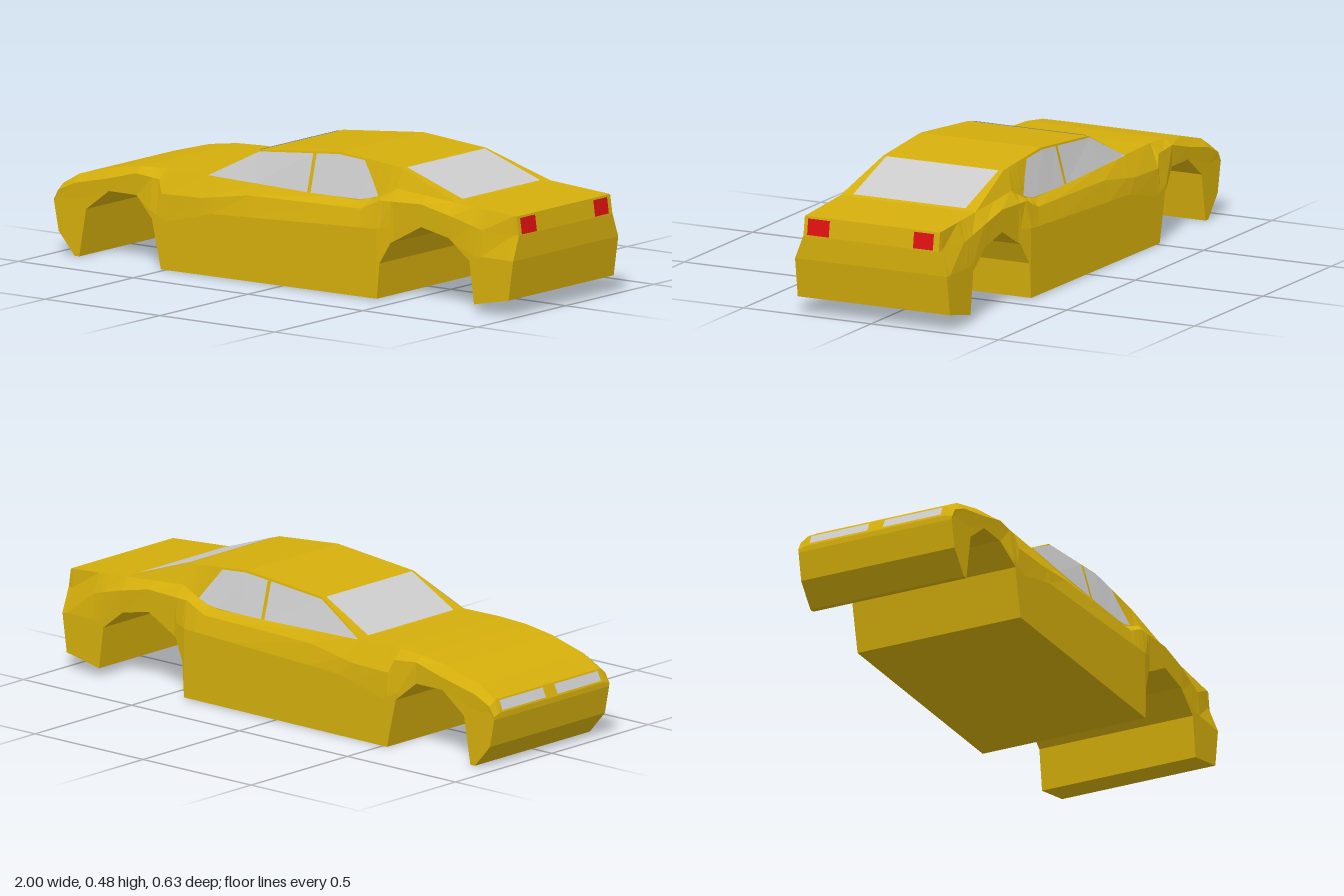
import * as THREE from 'three';

const paint = new THREE.MeshStandardMaterial({ color: 0xd4ae0c, flatShading: true, side: THREE.DoubleSide });
const glass = new THREE.MeshStandardMaterial({ color: 0xcccccc, flatShading: true, side: THREE.DoubleSide });
const red = new THREE.MeshStandardMaterial({ color: 0xdd1010, flatShading: true, side: THREE.DoubleSide });

// Body lines along the length: [x, height]
const top = [[-1, .2], [-.98, .245], [-.91, .285], [-.76, .325], [-.64, .342], [-.52, .347], [-.35, .345],
  [-.15, .451], [.2, .483], [.47, .46], [.73, .37], [.99, .352], [1, .285]];
const bottom = [[-1, .18], [-.98, .08], [-.91, 0], [-.89, 0], [-.86, .17], [-.76, .245], [-.64, .245],
  [-.56, .175], [-.52, 0], [.42, .005], [.43, .13], [.47, .205], [.6, .275], [.72, .25], [.81, .18],
  [.83, .03], [.98, .06], [1, .2]];
const belt = [[-1, .2], [-.98, .245], [-.91, .285], [-.76, .325], [-.64, .342], [-.52, .347], [-.35, .345],
  [-.15, .338], [.3, .332], [.37, .345], [.47, .39], [.73, .37], [.99, .352], [1, .285]];
const shoulder = [[-1, .19], [-.98, .225], [-.91, .257], [-.76, .29], [-.64, .322], [-.54, .312], [-.52, .265],
  [-.35, .27], [-.15, .3], [.34, .31], [.42, .348], [.6, .355], [.72, .33], [.86, .292], [1, .285]];
const crease = [[-1, .185], [-.98, .2], [-.91, .2], [-.76, .24], [-.56, .2], [-.5, .17], [-.3, .22], [.4, .25],
  [.6, .28], [.83, .2], [1, .2]];

// Half widths along the length: [x, z]
const topZ = [[-1, .27], [-.35, .265], [-.15, .235], [.47, .235], [.73, .265], [1, .265]];
const beltZ = [[-1, .27], [.3, .272], [.47, .265], [1, .265]];
const shoulderZ = [[-1, .3], [-.54, .302], [-.52, .312], [-.35, .312], [-.15, .3], [.72, .3], [.86, .29], [1, .265]];
const sideZ = [[-1, .298], [-.64, .3], [-.57, .317], [.42, .317], [.48, .3], [1, .298]];

function at(line, x) {
  for (let i = 1; i < line.length; i++) {
    const [x0, a] = line[i - 1], [x1, b] = line[i];
    if (x <= x1) return a + (b - a) * (x - x0) / (x1 - x0);
  }
  return line[line.length - 1][1];
}

// Closed cross-section at x, from the floor up one side and down the other
function section(x) {
  const floor = at(bottom, x);
  const half = [[floor, at(sideZ, x)], [at(crease, x), at(sideZ, x)], [at(shoulder, x), at(shoulderZ, x)],
    [at(belt, x), at(beltZ, x)], [at(top, x), at(topZ, x)]];
  const pts = half.map(([y, z]) => [x, Math.max(y, floor), z]);
  return [...pts, ...pts.slice().reverse().map(([a, y, z]) => [a, y, -z])];
}

function meshOf(positions, material, name) {
  const g = new THREE.BufferGeometry();
  g.setAttribute('position', new THREE.Float32BufferAttribute(positions, 3));
  g.computeVertexNormals();
  const m = new THREE.Mesh(g, material);
  m.name = name;
  return m;
}

const quad = (out, a, b, c, d) => out.push(...a, ...b, ...c, ...a, ...c, ...d);

function bodyShell() {
  const xs = [...new Set([top, bottom, belt, shoulder, crease, topZ, sideZ].flat().map(p => p[0]))].sort((a, b) => a - b);
  const rings = xs.map(section), out = [], n = rings[0].length;
  for (let i = 0; i + 1 < rings.length; i++) {
    for (let j = 0; j < n; j++) {
      const k = (j + 1) % n;
      quad(out, rings[i][j], rings[i + 1][j], rings[i + 1][k], rings[i][k]);
    }
  }
  // Nose and tail caps
  const nose = rings[0], tail = rings[rings.length - 1];
  for (let j = 0; j < n / 2 - 1; j++) {
    quad(out, nose[j], nose[j + 1], nose[n - 2 - j], nose[n - 1 - j]);
    quad(out, tail[j], tail[n - 1 - j], tail[n - 2 - j], tail[j + 1]);
  }
  return meshOf(out, paint, 'bodyShell');
}

// Panel across the car between two profile points, spanning z0 to z1
function crossPanel(name, material, [xa, ya], [xb, yb], z0, z1) {
  const out = [];
  quad(out, [xa, ya, z0], [xa, ya, z1], [xb, yb, z1], [xb, yb, z0]);
  return meshOf(out, material, name);
}

// Side window from columns [x, sill, head], lying just outside the cabin side
function sideWindow(name, columns, side) {
  const point = (x, y) => {
    const y0 = at(belt, x), y1 = at(top, x), t = y1 - y0 > .001 ? (y - y0) / (y1 - y0) : 0;
    return [x, y, side * (at(beltZ, x) + (at(topZ, x) - at(beltZ, x)) * t + .004)];
  };
  const out = [];
  for (let i = 1; i < columns.length; i++) {
    const [xa, la, ha] = columns[i - 1], [xb, lb, hb] = columns[i];
    const q = [point(xa, la), point(xb, lb), point(xb, hb), point(xa, ha)];
    quad(out, ...(side > 0 ? q : q.reverse()));
  }
  return meshOf(out, glass, name);
}

export function createModel() {
  const car = new THREE.Group();
  car.name = 'car';
  car.add(bodyShell());

  // Front and rear screens
  car.add(crossPanel('windscreen', glass, [-.348, .349], [-.154, .452], -.222, .222));
  car.add(crossPanel('rearWindow', glass, [.478, .46], [.72, .3765], -.22, .22));

  // Mirrored windows and lamps
  for (const s of [1, -1]) {
    const side = s > 0 ? 'left' : 'right';
    car.add(sideWindow(side + 'FrontWindow', [[-.345, .345, .346], [-.15, .34, .446], [.085, .335, .467]], s));
    car.add(sideWindow(side + 'RearWindow', [[.1, .335, .468], [.2, .335, .477], [.31, .337, .468], [.35, .343, .415], [.39, .356, .36]], s));
    const [h0, h1] = s > 0 ? [.03, .255] : [-.255, -.03];
    car.add(crossPanel(side + 'Headlamp', glass, [-1, .207], [-.985, .24], h0, h1));
    const [t0, t1] = s > 0 ? [.165, .25] : [-.243, -.165];
    car.add(crossPanel(side + 'TailLamp', red, [.9935, .345], [1.0015, .288], t0, t1));
  }
  return car;
}
